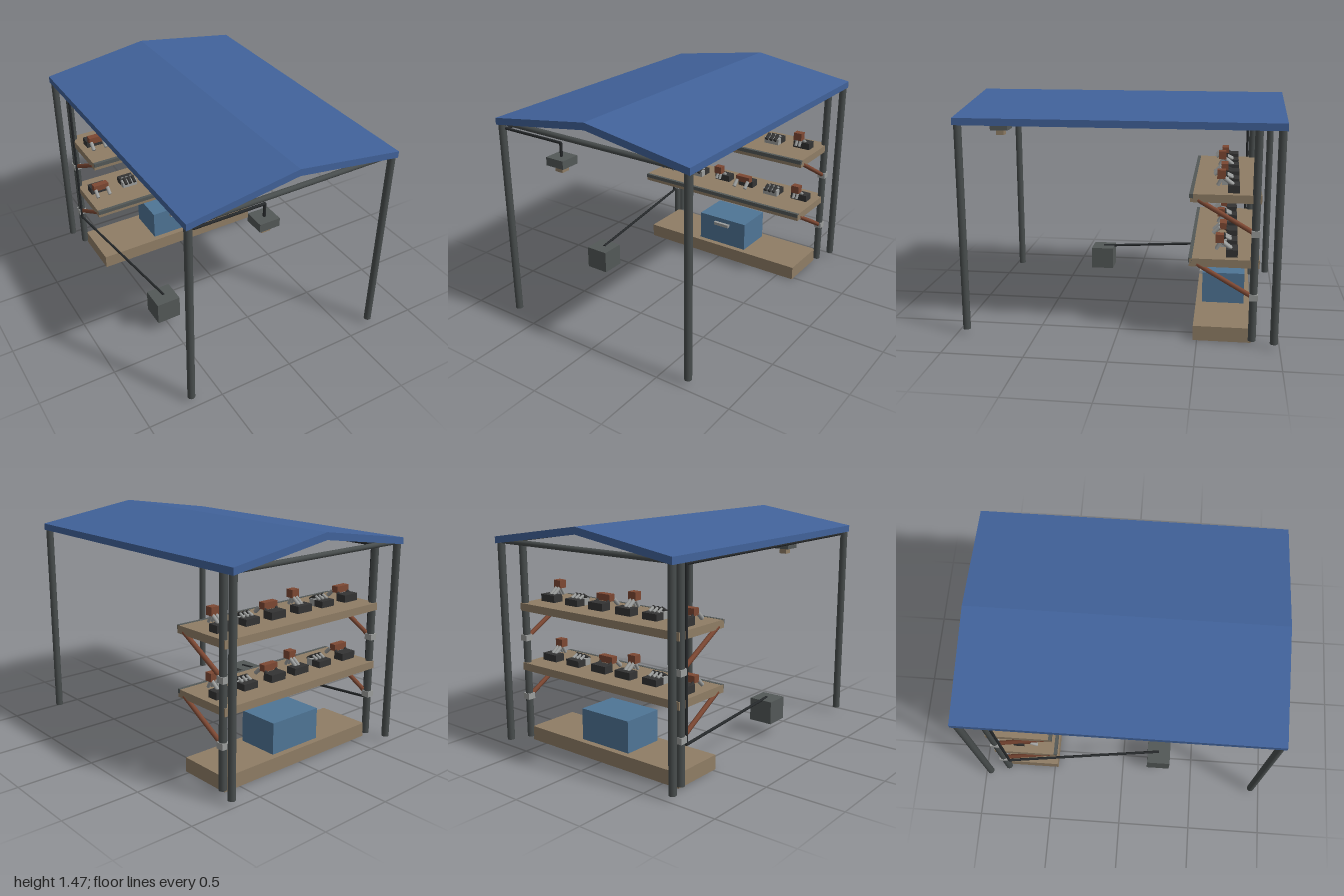
import * as THREE from 'three';

const mat = (name, color) => {
  const m = new THREE.MeshStandardMaterial({ color });
  m.name = name;
  return m;
};

export function createModel() {
  const M = {
    roof: mat('roof blue', 0x41629a),
    steel: mat('dark steel', 0x484d4d),
    grey: mat('housing grey', 0x535857),
    wood: mat('tan wood', 0x8f7d65),
    rust: mat('rust red', 0x7d4833),
    black: mat('charcoal', 0x343434),
    cable: mat('cable black', 0x26292b),
    light: mat('light metal', 0x9b9d9c),
    chest: mat('chest blue', 0x4f7596),
  };
  const model = new THREE.Group();
  model.name = 'workshopShelter';

  const add = (parent, name, geo, material) => {
    const mesh = new THREE.Mesh(geo, material);
    mesh.name = name;
    parent.add(mesh);
    return mesh;
  };
  // Box given by its limits on each axis
  const box = (parent, name, material, [x0, x1], [y0, y1], [z0, z1]) => {
    const mesh = add(parent, name, new THREE.BoxGeometry(x1 - x0, y1 - y0, z1 - z0), material);
    mesh.position.set((x0 + x1) / 2, (y0 + y1) / 2, (z0 + z1) / 2);
    return mesh;
  };
  // Round bar between two points
  const bar = (parent, name, material, from, to, r, sides = 12) => {
    const a = new THREE.Vector3(...from), b = new THREE.Vector3(...to);
    const mesh = add(parent, name, new THREE.CylinderGeometry(r, r, a.distanceTo(b), sides), material);
    mesh.position.copy(a).add(b).multiplyScalar(0.5);
    mesh.quaternion.setFromUnitVectors(new THREE.Vector3(0, 1, 0), b.sub(a).normalize());
    return mesh;
  };

  // Shallow gabled roof slab
  const gable = new THREE.Shape([
    [-0.71, 1.32], [0, 1.425], [0.71, 1.32], [0.71, 1.363], [0, 1.47], [-0.71, 1.363],
  ].map(([x, y]) => new THREE.Vector2(x, y)));
  const roof = add(model, 'roof', new THREE.ExtrudeGeometry(gable, { depth: 1.96, bevelEnabled: false }), M.roof);
  roof.position.z = -0.993;

  // Corner posts, shelf uprights and roof beams
  for (const s of [-1, 1]) {
    for (const z of [0.94, -0.965]) {
      bar(model, 'cornerPost', M.steel, [s * 0.685, 0.03, z], [s * 0.685, 1.325, z], 0.024);
    }
    bar(model, 'shelfUpright', M.steel, [s * 0.638, 0.025, -0.835], [s * 0.638, 1.325, -0.835], 0.024);
    bar(model, 'sideBeam', M.steel, [s * 0.675, 1.336, 0.94], [s * 0.675, 1.336, -0.965], 0.017);
  }
  for (const z of [0.94, -0.965]) {
    bar(model, 'crossBeam', M.steel, [-0.685, 1.337, z], [0.685, 1.337, z], 0.017);
  }

  // Tools kept on the shelves, each built around its own origin
  const makeClampBlock = () => {
    const g = new THREE.Group();
    g.name = 'clampBlock';
    box(g, 'clampBase', M.black, [-0.06, 0.06], [0, 0.048], [-0.085, -0.015]);
    box(g, 'clampHead', M.rust, [-0.055, 0.055], [0.05, 0.093], [-0.015, 0.03]);
    for (const x of [-0.045, 0.045]) {
      bar(g, 'clampArm', M.light, [x, 0.022, 0.072], [x, 0.062, 0.03], 0.013);
      bar(g, 'clampLink', M.black, [x, 0.04, -0.03], [x, 0.065, 0.01], 0.01);
    }
    return g;
  };
  const makePinBlock = () => {
    const g = new THREE.Group();
    g.name = 'pinBlock';
    box(g, 'pinRear', M.black, [-0.055, 0.055], [0, 0.042], [-0.085, -0.02]);
    box(g, 'pinBase', M.light, [-0.055, 0.055], [0, 0.044], [-0.02, 0.022]);
    for (const x of [-0.033, 0, 0.033]) {
      bar(g, 'pin', M.black, [x, 0.035, 0.035], [x, 0.062, -0.01], 0.012);
      bar(g, 'pinShaft', M.light, [x, 0.06, -0.008], [x, 0.042, -0.045], 0.009);
    }
    return g;
  };
  const makePress = () => {
    const g = new THREE.Group();
    g.name = 'press';
    box(g, 'pressBase', M.black, [-0.061, 0.061], [0, 0.046], [-0.085, -0.015]);
    box(g, 'pressHead', M.rust, [-0.029, 0.029], [0.078, 0.13], [0, 0.05]);
    for (const x of [-0.013, 0.013]) {
      bar(g, 'pressArm', M.light, [x, 0.04, -0.045], [x, 0.085, 0.015], 0.012);
      bar(g, 'pressStrut', M.light, [x, 0.035, 0.045], [x, 0.08, 0.02], 0.01);
    }
    return g;
  };
  const makers = [makeClampBlock, makePinBlock, makePress];

  // Shelves with edge rail, braces, collars and tools
  const toolX = [[-0.547, -0.32, -0.104, 0.1, 0.328, 0.54], [-0.545, -0.325, -0.116, 0.111, 0.321, 0.536]];
  [0.535, 0.93].forEach((top, level) => {
    box(model, 'shelf', M.wood, [-0.65, 0.65], [top - 0.049, top], [-0.865, -0.445]);
    box(model, 'shelfRail', M.grey, [-0.65, 0.65], [top - 0.025, top + 0.001], [-0.462, -0.44]);
    for (const s of [-1, 1]) {
      const x = s * 0.638;
      bar(model, 'shelfBrace', M.rust, [x, top - 0.035, -0.49], [x, top - 0.228, -0.825], 0.015, 8);
      box(model, 'braceCollar', M.light, [x - 0.026, x + 0.026], [top - 0.25, top - 0.21], [-0.862, -0.81]);
    }
    toolX[level].forEach((x, i) => {
      const tool = makers[i % 3]();
      tool.position.set(x, top, -0.65);
      model.add(tool);
    });
  });

  // Base platform with storage chest
  box(model, 'platform', M.wood, [-0.62, 0.62], [0, 0.093], [-0.83, -0.475]);
  box(model, 'chest', M.chest, [-0.195, 0.192], [0.093, 0.298], [-0.79, -0.515]);
  box(model, 'chestHandle', M.light, [-0.063, 0.06], [0.243, 0.265], [-0.516, -0.492]);

  // Power box and its cable run up to the lamp
  box(model, 'powerBox', M.grey, [-0.597, -0.435], [0.093, 0.246], [0.175, 0.335]);
  const run = [
    [-0.512, 0.246, 0.255], [-0.652, 0.268, -0.8], [-0.652, 1.3, -0.8],
    [-0.652, 1.3, 0.94], [-0.208, 1.3, 0.94], [-0.208, 1.21, 0.94],
  ];
  run.slice(1).forEach((p, i) => {
    bar(model, 'cable', M.cable, run[i], p, 0.009, 8);
    if (i < 4) add(model, 'cableJoint', new THREE.SphereGeometry(0.009, 8, 6), M.cable).position.set(...p);
  });

  // Hanging lamp
  box(model, 'lampHousing', M.grey, [-0.273, -0.145], [1.166, 1.217], [0.875, 1.0]);
  box(model, 'lampLens', M.wood, [-0.237, -0.182], [1.127, 1.167], [0.912, 0.967]);

  return model;
}
